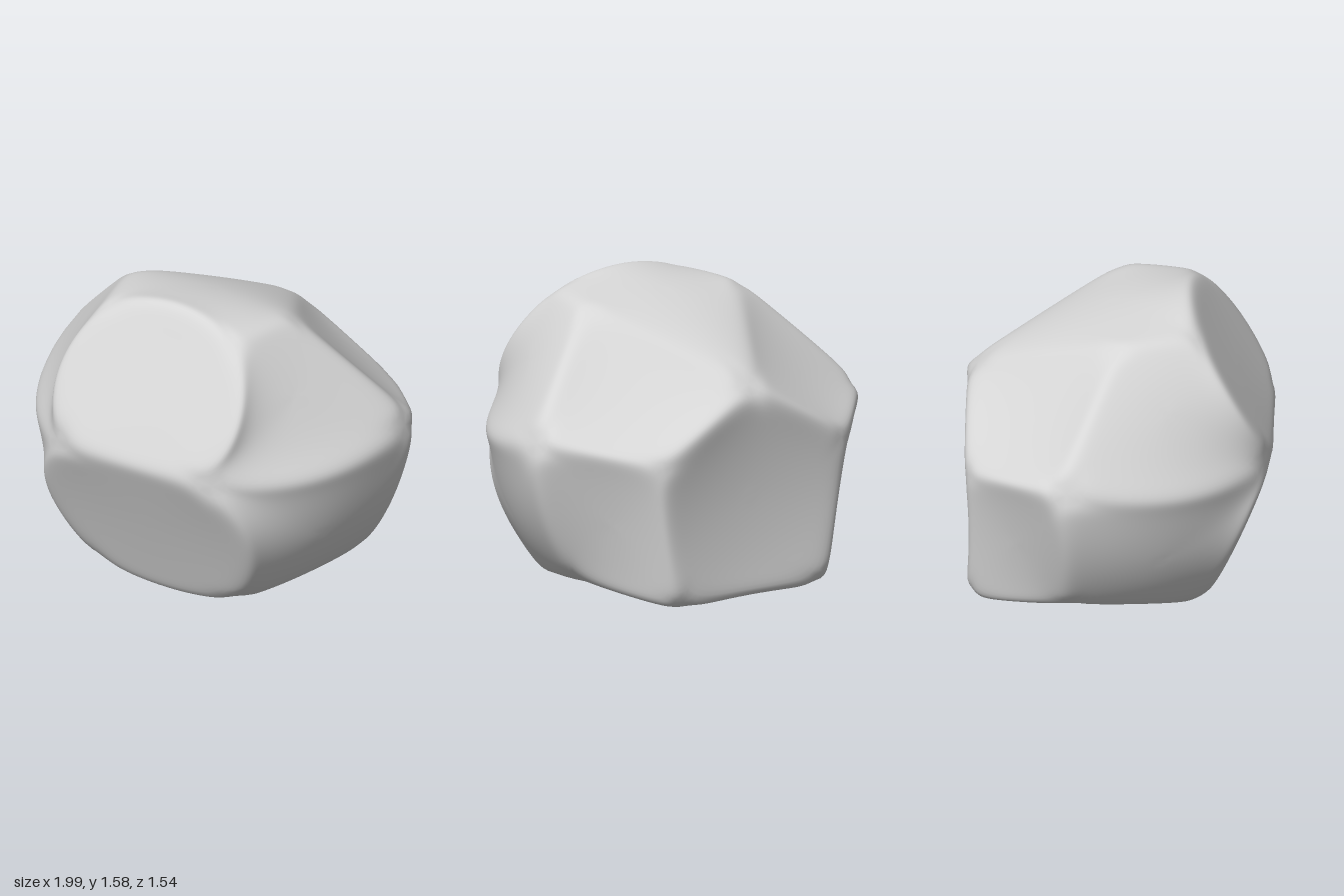
import * as THREE from 'three';
import { mergeVertices } from 'three/addons/utils/BufferGeometryUtils.js';

// Corners of the right half; a lower-case letter means the mirrored corner
const CORNERS = {
  T: [0, 1.18, -0.78],        // peak of the back
  A: [0.58, 0.845, -0.785],   // upper back
  B: [0.455, 0.055, -0.78],   // lower back
  V: [1.035, 0.95, -0.3],     // widest point
  C: [0.745, 0.175, -0.255],  // lower side
  U: [0.48, 1.51, 0],         // shoulder
  F: [0.43, 0.87, 0.79],      // front
  G: [0.39, 1.515, 0.4],      // top front
  D: [0.39, 0.02, 0.43],      // bottom front
};

// Midpoints of the edges that bow; the other edges are straight
const BOWS = {
  Gg: [0, 1.6, 0.35], Ff: [0, 0.86, 0.775], Dd: [0, -0.015, 0.415], Bb: [0, 0.085, -0.76],
  FG: [0.55, 1.18, 0.61], DF: [0.61, 0.49, 0.61], FV: [0.855, 0.84, 0.335],
  CV: [0.935, 0.53, -0.255], CD: [0.605, 0.12, 0.12], AB: [0.53, 0.47, -0.755],
};

// Facets: corners in order, and a middle point that sets how far they dome or hollow
const MIDDLE_FACETS = [
  ['FfgG', [0, 1.22, 0.57]],      // front upper
  ['FDdf', [0, 0.43, 0.59]],      // front lower
  ['GguTU', [0, 1.535, 0.02]],    // top
  ['TABba', [0, 0.6, -0.725]],    // back
  ['DdcbBC', [0, 0.11, -0.2]],    // underside
];
const SIDE_FACETS = [
  ['FGUV', [0.66, 1.2, 0.215]],   // upper side
  ['FVCD', [0.79, 0.47, 0.225]],  // lower side
  ['TAVU', [0.5, 1.11, -0.45]],   // upper back corner
  ['AVCB', [0.69, 0.48, -0.51]],  // lower back corner
];
const STEPS = 24, RINGS = 20, SMOOTHING = 14;

const isLower = (c) => c !== c.toUpperCase();
const swapCase = (s) => [...s].map((c) => (isLower(c) ? c.toUpperCase() : c.toLowerCase())).join('');
const vec = ([x, y, z], flip) => new THREE.Vector3(flip ? -x : x, y, z);
const corner = (c) => vec(CORNERS[c.toUpperCase()], isLower(c));

// Points along one edge, always computed in the same direction so that neighbours meet
function edgePoints(a, b) {
  const [p, q] = [a, b].sort();
  const start = corner(p), end = corner(q);
  const mirrored = isLower(p);
  const bow = BOWS[mirrored ? swapCase(p + q) : p + q];
  const mid = bow ? vec(bow, mirrored) : start.clone().add(end).multiplyScalar(0.5);
  const pts = [];
  for (let i = 0; i <= STEPS; i++) {
    const t = i / STEPS;
    pts.push(new THREE.Vector3()
      .addScaledVector(start, (1 - t) * (1 - 2 * t))
      .addScaledVector(mid, 4 * t * (1 - t))
      .addScaledVector(end, t * (2 * t - 1)));
  }
  if (p !== a) pts.reverse();
  return pts.slice(0, STEPS);
}

// Smooth inner point of a facet: a weighted blend of the whole rim
function blend(rim, r, i) {
  const out = new THREE.Vector3();
  let total = 0;
  rim.forEach((p, j) => {
    const w = 1 / (1 - 2 * r * Math.cos((2 * Math.PI * (i - j)) / rim.length) + r * r);
    out.addScaledVector(p, w);
    total += w;
  });
  return out.divideScalar(total);
}

// Rings from the middle of a facet out to its edges
function addFacet(names, centre, positions, index) {
  const letters = [...names];
  const rim = letters.flatMap((c, i) => edgePoints(c, letters[(i + 1) % letters.length]));
  const mean = blend(rim, 0, 0);
  const normal = new THREE.Vector3();
  rim.forEach((p, i) => {
    const q = rim[(i + 1) % rim.length];
    normal.add(p.clone().sub(mean).cross(q.clone().sub(mean)));
  });
  if (normal.dot(mean.clone().sub(new THREE.Vector3(0, 0.8, 0))) < 0) rim.reverse();

  const base = positions.length / 3, n = rim.length;
  const dome = centre.clone().sub(mean).projectOnVector(normal);
  for (let k = 0; k <= RINGS; k++) {
    const r = k / RINGS;
    for (let i = 0; i < n; i++) {
      const v = k === RINGS ? rim[i] : blend(rim, r, i).addScaledVector(dome, 1 - r * r);
      positions.push(v.x, v.y, v.z);
    }
  }
  for (let k = 0; k < RINGS; k++) {
    for (let i = 0; i < n; i++) {
      const a = base + k * n + i, b = base + k * n + (i + 1) % n;
      index.push(a, a + n, b + n);
      if (k > 0) index.push(a, b + n, b);
    }
  }
}

// Round the edges by moving each point towards its neighbours
function soften(geo) {
  const p = geo.attributes.position.array, idx = geo.index.array;
  for (let pass = 0; pass < SMOOTHING; pass++) {
    const sum = new Float32Array(p.length), count = new Uint16Array(p.length / 3);
    for (let i = 0; i < idx.length; i++) {
      const a = idx[i], b = idx[i % 3 === 2 ? i - 2 : i + 1];
      for (let k = 0; k < 3; k++) sum[a * 3 + k] += p[b * 3 + k];
      count[a]++;
    }
    for (let i = 0; i < p.length; i++) {
      const c = count[Math.floor(i / 3)];
      if (c) p[i] += 0.5 * (sum[i] / c - p[i]);
    }
  }
}

export function createModel() {
  const group = new THREE.Group();
  group.name = 'stone';
  const grey = new THREE.MeshStandardMaterial({ color: 0xd6d6d6 });
  grey.name = 'stone grey';

  const positions = [], index = [];
  for (const [names, c] of MIDDLE_FACETS) addFacet(names, vec(c), positions, index);
  for (const [names, c] of SIDE_FACETS) {
    addFacet(names, vec(c), positions, index);
    addFacet(swapCase(names), vec(c, true), positions, index);
  }

  let geo = new THREE.BufferGeometry();
  geo.setAttribute('position', new THREE.Float32BufferAttribute(positions, 3));
  geo.setIndex(index);
  geo = mergeVertices(geo, 1e-4);
  soften(geo);

  // Rest on the ground
  geo.computeBoundingBox();
  geo.translate(0, -geo.boundingBox.min.y, 0);
  geo.computeVertexNormals();

  const body = new THREE.Mesh(geo, grey);
  body.name = 'facetedStone';
  group.add(body);
  return group;
}
